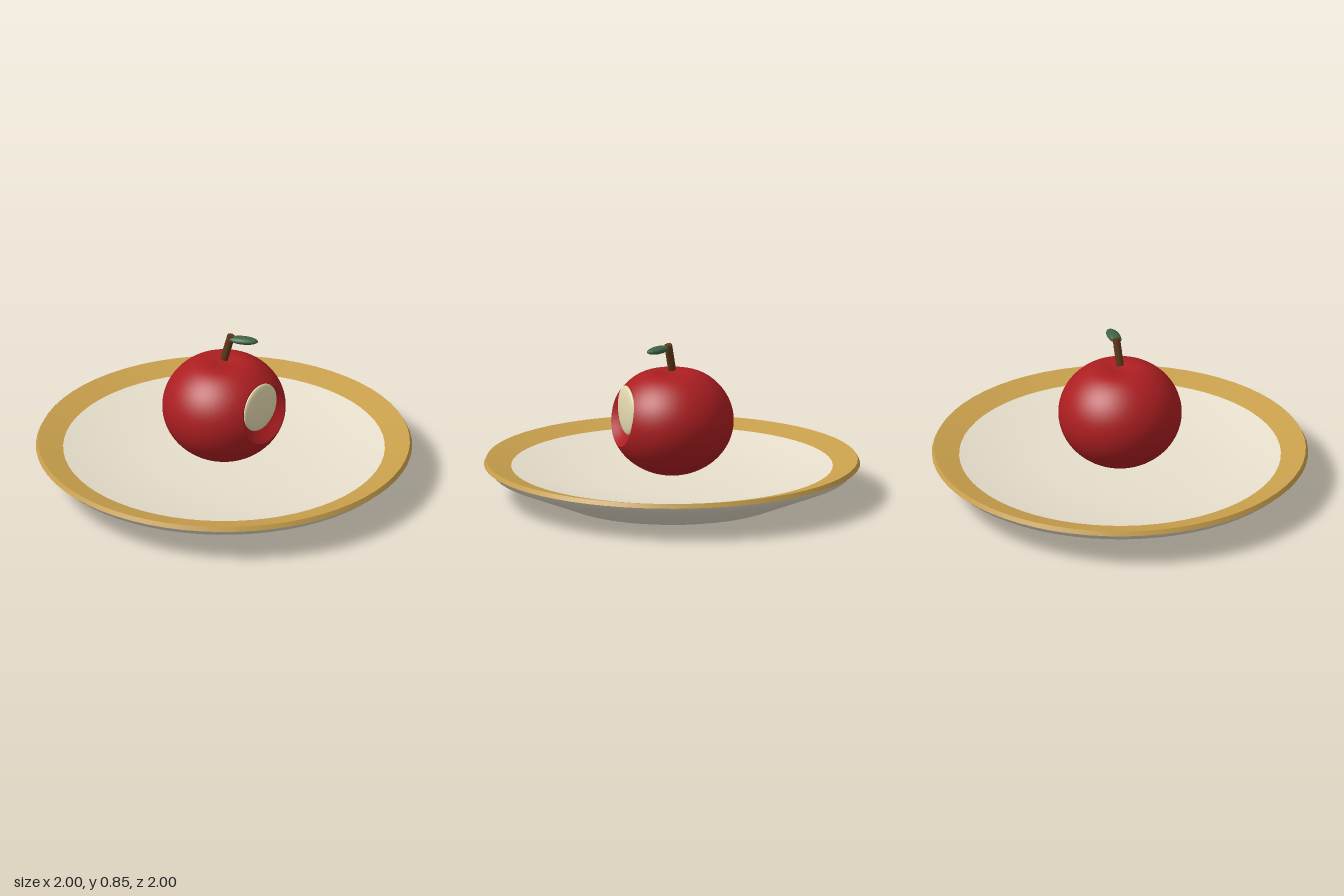
import * as THREE from 'three';
import { toCreasedNormals } from 'three/addons/utils/BufferGeometryUtils.js';

const material = (name, color) => {
  const m = new THREE.MeshStandardMaterial({ color });
  m.name = name;
  return m;
};

export function createModel() {
  const porcelain = material('porcelain', 0xe8e0cd);
  const gold = material('gold', 0xc89f4c);
  const red = material('apple red', 0xac1e21);
  const flesh = material('apple flesh', 0xf0e4b8);
  const brown = material('stem brown', 0x5e3718);
  const green = material('leaf green', 0x3f6243);

  const model = new THREE.Group();
  model.name = 'appleOnPlate';
  const add = (parent, name, geometry, mat) => {
    const mesh = new THREE.Mesh(geometry, mat);
    mesh.name = name;
    parent.add(mesh);
    return mesh;
  };
  const lathe = (...points) =>
    new THREE.LatheGeometry(points.map(([r, y]) => new THREE.Vector2(r, y)), 64);

  // Plate: underside, gilded rim and shallow dish, meeting at sharp edges
  const plate = new THREE.Group();
  plate.name = 'plate';
  model.add(plate);
  add(plate, 'plateUnderside', lathe([0, 0], [0.59, 0], [0.955, 0.15], [0.985, 0.187]), porcelain);
  add(plate, 'rimUnderside', lathe([0.985, 0.187], [1, 0.19]), gold);
  add(plate, 'rimEdge', lathe([1, 0.19], [0.988, 0.213]), gold);
  add(plate, 'rimBand', lathe([0.988, 0.213], [0.855, 0.18]), gold);
  add(plate, 'plateDish', lathe([0.855, 0.18], [0.62, 0.13], [0.35, 0.108], [0, 0.105]), porcelain);

  // Apple: an ellipsoid with a dimpled top, scooped by a sphere
  const apple = new THREE.Group();
  apple.name = 'apple';
  apple.position.y = 0.428;
  model.add(apple);

  const up = new THREE.Vector3(0, 1, 0);
  const biteCentre = new THREE.Vector3(0.4, 0.072, 0.21);
  const biteRadius = 0.24;
  const axis = biteCentre.clone().normalize();

  const body = new THREE.SphereGeometry(1, 80, 100);
  body.applyQuaternion(new THREE.Quaternion().setFromUnitVectors(up, axis));
  const p = body.attributes.position;
  const v = new THREE.Vector3();
  for (let i = 0; i < p.count; i++) {
    v.fromBufferAttribute(p, i).normalize();
    let radius = 1 / Math.hypot(v.x / 0.328, v.y / 0.293, v.z / 0.328);
    const along = v.dot(biteCentre);
    const hit = along * along - biteCentre.lengthSq() + biteRadius ** 2;
    if (along > 0 && hit > 0) radius = Math.min(radius, along - Math.sqrt(hit));
    v.multiplyScalar(radius);
    if (v.y > 0.2) v.y -= 0.045 * Math.exp(-(v.x * v.x + v.z * v.z) / 0.01);
    p.setXYZ(i, v.x, v.y, v.z);
  }
  add(apple, 'appleBody', toCreasedNormals(body, 0.5), red);

  // Pale upright disc of flesh at the bottom of the bite
  const facing = new THREE.Vector3(biteCentre.x, 0, biteCentre.z).normalize();
  const bite = add(apple, 'biteFlesh', new THREE.SphereGeometry(0.132, 32, 20).scale(1, 0.18, 1), flesh);
  bite.quaternion.setFromUnitVectors(up, facing);
  bite.position.copy(facing).multiplyScalar(0.253).setY(0.074);

  // Leaning stem
  const base = new THREE.Vector3(0, 0.705, 0);
  const tip = new THREE.Vector3(0.038, 0.848, -0.008);
  const lean = tip.clone().sub(base);
  const stem = add(model, 'stem', new THREE.CylinderGeometry(0.021, 0.021, lean.length(), 8), brown);
  stem.position.copy(base).add(tip).multiplyScalar(0.5);
  stem.quaternion.setFromUnitVectors(up, lean.normalize());

  // Leaf
  const leaf = add(model, 'leaf', new THREE.SphereGeometry(1, 16, 12).scale(0.081, 0.02, 0.034), green);
  leaf.position.set(0.105, 0.83, 0);

  return model;
}
